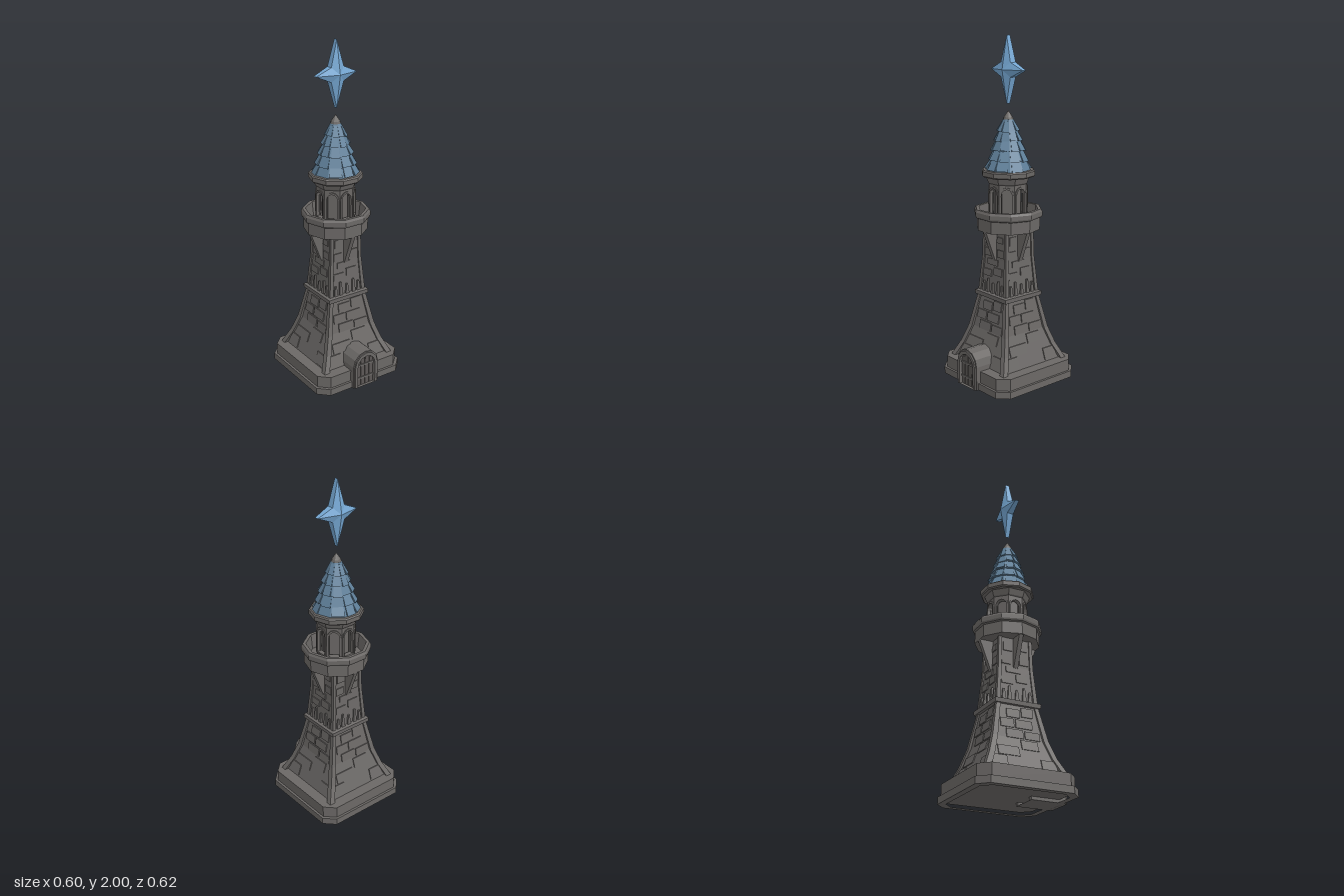
import * as THREE from 'three';
import { mergeGeometries } from 'three/addons/utils/BufferGeometryUtils.js';

const paint = (name, hex) => {
  const m = new THREE.MeshStandardMaterial({ color: hex });
  m.name = name;
  return m;
};

// Faceted normals for any geometry
function flat(geo) {
  const g = geo.index ? geo.toNonIndexed() : geo;
  g.deleteAttribute('uv');
  g.computeVertexNormals();
  return g;
}

// Solid through rings of points (counterclockwise from above, listed bottom to top)
function loft(rings) {
  const n = rings[0].length, idx = [];
  for (let r = 0; r < rings.length - 1; r++) {
    for (let i = 0; i < n; i++) {
      const a = r * n + i, b = r * n + (i + 1) % n;
      idx.push(a, b, b + n, a, b + n, a + n);
    }
  }
  const t = (rings.length - 1) * n;
  for (let i = 1; i < n - 1; i++) idx.push(0, i + 1, i, t, t + i, t + i + 1);
  const g = new THREE.BufferGeometry();
  g.setAttribute('position', new THREE.Float32BufferAttribute(rings.flat(2), 3));
  g.setIndex(idx);
  return flat(g);
}

const rect = (x0, x1, z0, z1, y) => [[x0, y, z1], [x1, y, z1], [x1, y, z0], [x0, y, z0]];
const square = (h, y) => rect(-h, h, -h, h, y);
const chamfered = (h, c) => [[-h + c, h], [h - c, h], [h, h - c], [h, -h + c],
  [h - c, -h], [-h + c, -h], [-h, -h + c], [-h, h - c]];
const chamferRing = (h, c, y) => chamfered(h, c).map(([x, z]) => [x, y, z]);

// Many-sided turned solid
function turned(profile, sides, start) {
  const pts = profile.map(([r, y]) => new THREE.Vector2(r, y));
  return flat(new THREE.LatheGeometry(pts, sides, start));
}

// Arched outline with straight jambs
function archPoints(w, y0, spring, rise, steps = 6) {
  const pts = [new THREE.Vector2(-w, y0), new THREE.Vector2(w, y0)];
  for (let i = 0; i <= steps; i++) {
    const a = Math.PI * i / steps;
    pts.push(new THREE.Vector2(w * Math.cos(a), spring + rise * Math.sin(a)));
  }
  return pts;
}
function extruded(outer, hole, z, depth) {
  const s = new THREE.Shape(outer);
  if (hole) s.holes.push(new THREE.Path(hole));
  return flat(new THREE.ExtrudeGeometry(s, { depth, bevelEnabled: false }).translate(0, 0, z));
}

// Repeat a geometry around the vertical axis
const around = (geos, count) => mergeGeometries(Array.from({ length: count }, (_, i) =>
  geos.map(g => g.clone().rotateY(i * 2 * Math.PI / count))).flat());

// Half width of the wall at a height
const wallRows = [[0.11, 0.218], [0.3, 0.152], [0.5, 0.118], [0.73, 0.1], [0.9, 0.097]];
function wall(y) {
  for (let i = 1; i < wallRows.length; i++) {
    const [y0, h0] = wallRows[i - 1], [y1, h1] = wallRows[i];
    if (y <= y1) return h0 + (h1 - h0) * (y - y0) / (y1 - y0);
  }
  return wallRows.at(-1)[1];
}

export function createModel() {
  const stone = paint('stone', 0x6b6866);
  const wood = paint('door wood', 0x5c5856);
  const roofBlue = paint('roof blue', 0x5f7f99);
  const starBlue = paint('star blue', 0x76a8d4);
  const model = new THREE.Group();
  const tower = new THREE.Group();
  tower.name = 'tower';
  tower.position.z = -0.012;
  model.add(tower);
  const add = (name, geo, mat = stone) => {
    const m = new THREE.Mesh(geo, mat);
    m.name = name;
    tower.add(m);
    return m;
  };

  // Stepped plinth, hollow underneath
  const v2 = (h, c) => chamfered(h, c).map(([x, z]) => new THREE.Vector2(x, z));
  add('plinthRim', extruded(v2(0.299, 0.06), v2(0.26, 0.05), 0, 0.04).rotateX(-Math.PI / 2));
  add('plinth', loft([chamferRing(0.27, 0.05, 0.018), chamferRing(0.27, 0.05, 0.04),
    chamferRing(0.285, 0.057, 0.04), chamferRing(0.285, 0.057, 0.11)]));

  // Curved square shaft with corner ribs
  add('shaft', loft(wallRows.map(([y, h]) => square(h, y))));
  const ribRows = [[0.11, 0.242, 0.034], [0.2, 0.2, 0.032], [0.3, 0.167, 0.03],
    [0.5, 0.127, 0.024], [0.73, 0.108, 0.02], [0.9, 0.104, 0.02]];
  add('cornerRibs', around([loft(ribRows.map(([y, h, w]) => rect(h - w, h, h - w, h, y)))], 4));
  add('waistBand', loft([square(0.138, 0.495), square(0.14, 0.52), square(0.122, 0.527)]));

  // Raised bricks: left, right, bottom, top
  const slab = (x0, x1, y0, y1, out = 0.006, inset = 0) => loft([
    rect(x0, x1, wall(y0) - 0.01, wall(y0) + out, y0),
    rect(x0 + inset, x1 - inset, wall(y1) - 0.01, wall(y1) + out, y1)]);
  const bricks = [[-0.19, -0.1, 0.12, 0.185], [0.1, 0.19, 0.12, 0.185], [-0.145, -0.02, 0.19, 0.245],
    [0.0, 0.1, 0.235, 0.29], [-0.08, 0.02, 0.3, 0.35], [0.03, 0.12, 0.3, 0.345],
    [-0.11, -0.03, 0.36, 0.41], [-0.02, 0.08, 0.36, 0.41], [-0.07, 0.01, 0.42, 0.47],
    [0.02, 0.09, 0.43, 0.485], [-0.09, -0.02, 0.62, 0.66], [0.0, 0.07, 0.635, 0.68],
    [-0.06, 0.03, 0.69, 0.725], [-0.085, -0.03, 0.74, 0.785], [0.025, 0.08, 0.745, 0.79],
    [-0.075, -0.02, 0.82, 0.87], [0.02, 0.07, 0.83, 0.865]];
  add('bricks', around(bricks.map(b => slab(...b)), 4));
  const pickets = [-0.08, -0.045, 0, 0.045, 0.08].map((x, i) =>
    slab(x - 0.013, x + 0.013, 0.52, i % 2 ? 0.605 : 0.585, 0.01, 0.008));
  add('pickets', around(pickets, 4));

  // Braces carrying the gallery
  add('braces', around([loft([rect(-0.013, 0.013, 0.08, 0.108, 0.72),
    rect(-0.013, 0.013, 0.08, 0.178, 0.9)])], 4));

  // Ten-sided gallery with parapet
  const X = Math.PI / 2;
  add('gallery', turned([[0, 0.9], [0.187, 0.9], [0.187, 0.97], [0.198, 0.975], [0.202, 0.985],
    [0.202, 1.008], [0.194, 1.022], [0.175, 1.022], [0.165, 0.935], [0, 0.935]], 10, X));

  // Eight-sided lantern room with arched openings
  const E = Math.PI / 8;
  add('lanternCore', turned([[0.08, 0.935], [0.08, 1.21]], 8, E));
  const v = (x, y) => new THREE.Vector2(x, y);
  const panel = extruded([v(-0.044, 0.935), v(0.044, 0.935), v(0.044, 1.21), v(-0.044, 1.21)],
    archPoints(0.031, 0.99, 1.11, 0.035), 0.084, 0.022);
  const trim = extruded(archPoints(0.041, 0.98, 1.11, 0.047),
    archPoints(0.031, 0.99, 1.11, 0.035), 0.1, 0.012);
  add('lanternArches', around([panel, trim], 8));
  add('lanternCornice', turned([[0.112, 1.165], [0.12, 1.175], [0.133, 1.21]], 8, E));

  // Eaves, shingled roof and tip
  add('eaves', turned([[0, 1.208], [0.15, 1.208], [0.157, 1.215], [0.157, 1.24],
    [0.15, 1.247], [0, 1.247]], 10, X));
  const tiers = [[1.247, 0.131], [1.302, 0.114], [1.36, 0.097], [1.415, 0.079], [1.468, 0.061]];
  const roof = [], step = Math.PI / 5;
  tiers.forEach(([y, r], t) => {
    const top = y + 0.064, rt = r - 0.03;
    roof.push(turned([[0, y], [r, y], [rt, top], [0, top]], 10, X));
    for (let i = 0; i < 10; i++) {
      // Overlapping shingles of uneven length
      const k = (i * 7 + t * 3) % 5;
      if (k === 0) continue;
      const a0 = i * step + 0.03 * k, a1 = (i + 1) * step - 0.03 * ((k + 2) % 4);
      const ring = (rad, inner, h) => [[a0, rad], [a1, rad], [a1, inner], [a0, inner]]
        .map(([a, q]) => [q * Math.cos(a), h, -q * Math.sin(a)]);
      const low = y + 0.004 * (k % 3) - (t ? 0.004 : 0);
      roof.push(loft([ring(r + 0.007, r - 0.012, low), ring(rt + 0.004, rt - 0.012, top - 0.008)]));
    }
  });
  add('roof', mergeGeometries(roof), roofBlue);
  add('roofTip', turned([[0, 1.525], [0.032, 1.525], [0.026, 1.545], [0, 1.582]], 10, X));

  // Floating four-pointed star
  const rim = [];
  for (let i = 0; i < 8; i++) {
    const a = i * Math.PI / 4, r = i % 2 ? 0.058 : (i % 4 ? 0.19 : 0.135);
    rim.push([r * Math.cos(a), r * Math.sin(a), i % 2 ? 0.02 : 0.012]);
  }
  const star = [];
  rim.forEach(([x, y, z], i) => {
    const [p, q, s] = rim[(i + 1) % 8];
    star.push(0, 0, 0.046, x, y, z, p, q, s, 0, 0, -0.046, p, q, -s, x, y, -z,
      x, y, z, x, y, -z, p, q, -s, x, y, z, p, q, -s, p, q, s);
  });
  const starGeo = new THREE.BufferGeometry();
  starGeo.setAttribute('position', new THREE.Float32BufferAttribute(star, 3));
  starGeo.computeVertexNormals();
  add('star', starGeo, starBlue).position.y = 1.81;

  // Arched porch with stone frame and planked door
  const inner = archPoints(0.062, 0, 0.13, 0.066);
  add('porch', extruded(archPoints(0.088, 0, 0.14, 0.085), inner, 0.1, 0.213));
  add('porchFrame', extruded(archPoints(0.08, 0, 0.135, 0.082), inner, 0.31, 0.012));
  add('doorBack', extruded(inner, null, 0.28, 0.012), wood);
  const planks = [-0.045, -0.015, 0.015, 0.045].map(x => {
    const h = Math.abs(x) > 0.03 ? 0.172 : 0.19;
    return flat(new THREE.BoxGeometry(0.026, h, 0.014).translate(x, h / 2, 0.298));
  });
  add('doorPlanks', mergeGeometries(planks), wood);
  const straps = [0.05, 0.135].map(y =>
    flat(new THREE.BoxGeometry(0.118, 0.012, 0.006).translate(0, y, 0.307)));
  add('doorStraps', mergeGeometries(straps), stone);

  return model;
}
